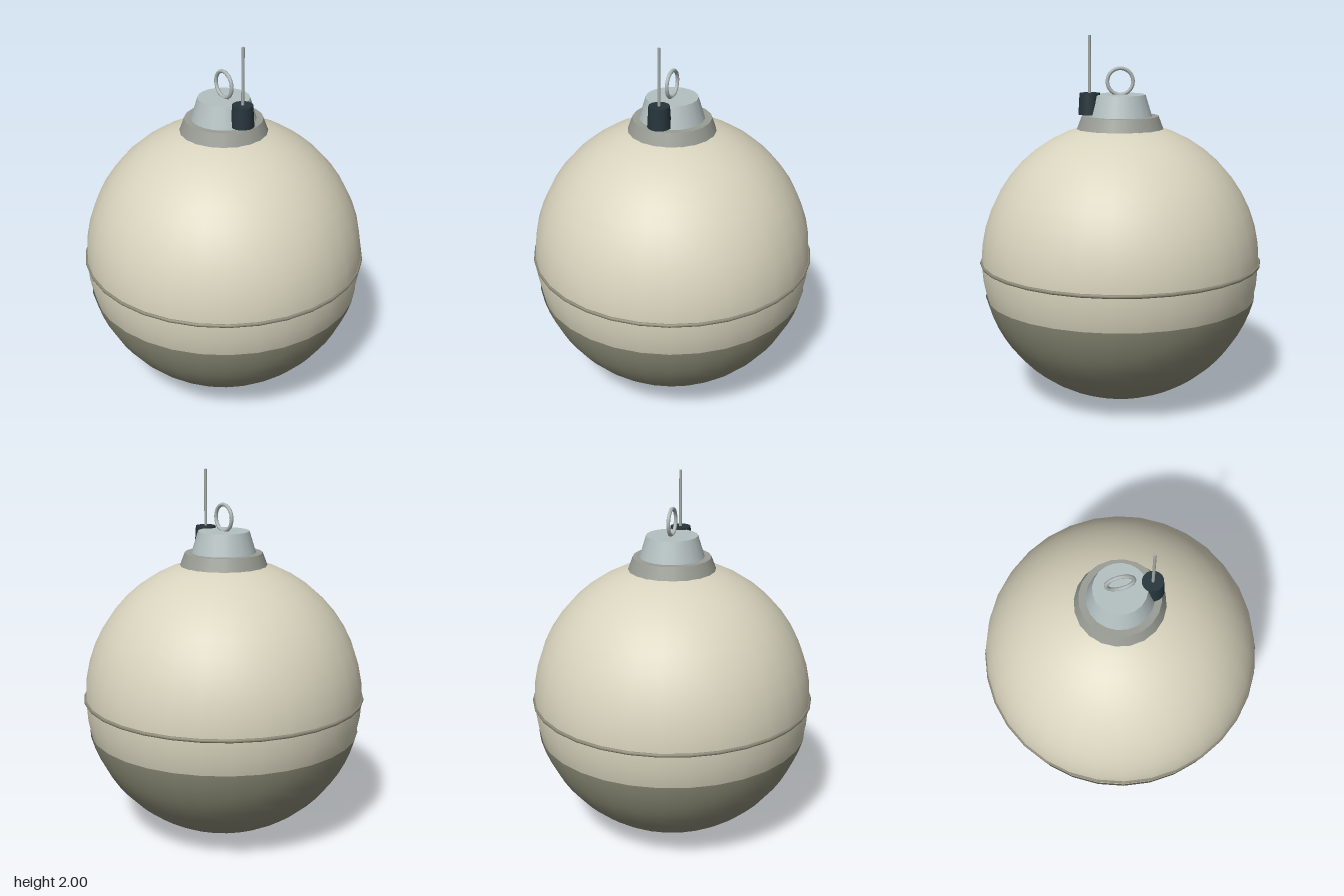
import * as THREE from 'three';

const CENTRE_Y = 0.775;

export function createModel() {
  const group = new THREE.Group();

  const add = (name, geometry, color, x, y, z = 0) => {
    const mesh = new THREE.Mesh(geometry, new THREE.MeshStandardMaterial({ color }));
    mesh.name = name;
    mesh.position.set(x, y, z);
    group.add(mesh);
    return mesh;
  };

  // Round float body
  add('floatBody', new THREE.SphereGeometry(0.765, 32, 24), 0xd8d3bd, 0, CENTRE_Y);

  // Painted lower shell, just proud of the body, with an open rim
  const rimAngle = Math.acos(-0.19 / 0.772);
  const shell = add('lowerShell',
    new THREE.SphereGeometry(0.772, 32, 14, 0, Math.PI * 2, rimAngle, Math.PI - rimAngle),
    0x8f8f7a, 0, CENTRE_Y);
  shell.material.side = THREE.DoubleSide;

  // Thin seam around the equator
  const seam = add('seamRing', new THREE.TorusGeometry(0.765, 0.01, 8, 32), 0x8a8775, 0, CENTRE_Y);
  seam.rotation.x = Math.PI / 2;

  // Stepped cap on top: wide collar, then narrower neck
  add('collar', new THREE.CylinderGeometry(0.21, 0.24, 0.08, 20), 0x9a9d95, 0, 1.53);
  add('neck', new THREE.CylinderGeometry(0.138, 0.175, 0.12, 20), 0xb4c0c1, 0, 1.625);

  // Lifting eye
  add('liftingEye', new THREE.TorusGeometry(0.07, 0.01, 8, 24), 0xb0b8b6, 0, 1.755);

  // Aerial in its dark socket, on the model's left
  add('aerialSocket', new THREE.CylinderGeometry(0.055, 0.062, 0.115, 16), 0x26353b, 0.165, 1.6375);
  add('aerial', new THREE.CylinderGeometry(0.008, 0.008, 0.4, 8), 0xa5adaa, 0.165, 1.8);

  return group;
}
